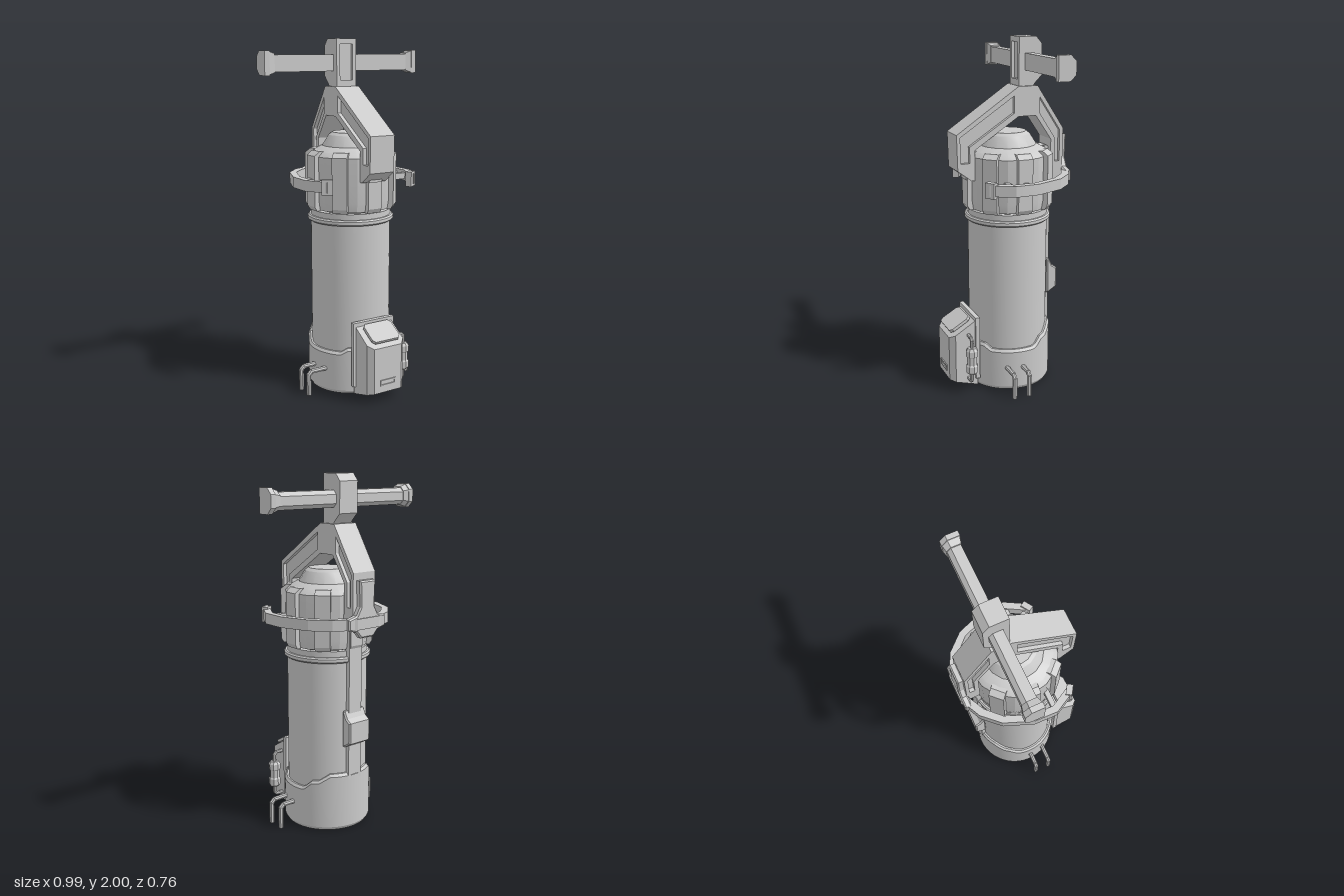
import * as THREE from 'three';
import { toCreasedNormals, mergeGeometries } from 'three/addons/utils/BufferGeometryUtils.js';

const CZ = -0.025; // z of the cylinder axis

export function createModel() {
  const model = new THREE.Group();
  const material = new THREE.MeshStandardMaterial({ color: 0xcccccc, side: THREE.DoubleSide });

  const add = (name, geometry, x = 0, y = 0, z = 0) => {
    const mesh = new THREE.Mesh(toCreasedNormals(geometry, 0.35), material);
    mesh.name = name;
    mesh.position.set(x, y, z);
    model.add(mesh);
    return mesh;
  };
  const box = (name, w, h, d, x, y, z) => add(name, new THREE.BoxGeometry(w, h, d), x, y, z);
  const shapeOf = (pts, hole) => {
    const s = new THREE.Shape(pts.map(p => new THREE.Vector2(...p)));
    (hole || []).forEach(h => s.holes.push(new THREE.Path(h.map(p => new THREE.Vector2(...p)))));
    return s;
  };
  // Extrusion centred on its own depth, with an optional chamfer
  const extrude = (pts, depth, holes, chamfer = 0) => {
    const g = new THREE.ExtrudeGeometry(shapeOf(pts, holes), {
      depth: depth - 2 * chamfer, bevelEnabled: chamfer > 0, bevelThickness: chamfer,
      bevelSize: chamfer, bevelOffset: -chamfer, bevelSegments: 1,
    });
    return g.translate(0, 0, -(depth - 2 * chamfer) / 2);
  };
  // Profile given as (z, y), extruded along x
  const extrudeX = (...args) => extrude(...args).rotateY(-Math.PI / 2);
  // Outline given as (x, z), extruded along y
  const extrudeY = (...args) => extrude(...args).rotateX(Math.PI / 2);
  const lathe = (pts, sides) =>
    new THREE.LatheGeometry(pts.map(p => new THREE.Vector2(...p)), sides);
  // Round rod that follows a polyline
  const rod = (name, pts, r) => {
    const parts = pts.slice(1).map((p, i) => {
      const a = new THREE.Vector3(...pts[i]), b = new THREE.Vector3(...p);
      const dir = b.clone().sub(a);
      const g = new THREE.CylinderGeometry(r, r, dir.length() + r * 0.4, 8);
      g.applyQuaternion(new THREE.Quaternion().setFromUnitVectors(
        new THREE.Vector3(0, 1, 0), dir.normalize()));
      return g.translate(...a.add(b).multiplyScalar(0.5).toArray());
    });
    add(name, mergeGeometries(parts));
  };

  // Main cylinder and its collar
  add('body', lathe([[0, 0.02], [0.228, 0.02], [0.228, 1.05], [0, 1.05]], 64), 0, 0, CZ);
  add('collar', lathe([[0.22, 0.985], [0.238, 0.985], [0.246, 0.993], [0.246, 1.01],
    [0.238, 1.018], [0.22, 1.018]], 64), 0, 0, CZ);

  // Base sleeve: the rim steps up toward the back
  const steps = [[0, 0.34], [35, 0.34], [50, 0.3], [60, 0.295], [72, 0.25], [135, 0.25], [145, 0.275], [180, 0.275]];
  const rimHeight = deg => {
    const i = Math.max(1, steps.findIndex(s => s[0] >= deg));
    const [a, ya] = steps[i - 1], [b, yb] = steps[i];
    return ya + (yb - ya) * (deg - a) / (b - a);
  };
  const base = lathe([[0, 0], [0.238, 0], [0.25, 0.02], [0.25, 0.985], [0.238, 1], [0.22, 1]], 72);
  const pos = base.attributes.position;
  for (let i = 0; i < pos.count; i++) {
    if (pos.getY(i) < 0.5) continue;
    const deg = Math.abs(Math.atan2(pos.getX(i), -pos.getZ(i))) * 180 / Math.PI;
    pos.setY(i, rimHeight(Math.min(deg, 179.99)) - (1 - pos.getY(i)));
  }
  add('base', base, 0, 0, CZ);

  // Cap with stepped top and eight ribs
  add('cap', lathe([[0.2, 1.05], [0.232, 1.06], [0.24, 1.11], [0.24, 1.36], [0.215, 1.385],
    [0.165, 1.41], [0, 1.41]], 16), 0, 0, CZ);
  add('capDome', lathe([[0.165, 1.4], [0.16, 1.415], [0.125, 1.47], [0.105, 1.485], [0, 1.485]], 16), 0, 0, CZ);
  for (let i = 0; i < 8; i++) {
    const rib = extrudeX([[0.2, 1.06], [0.243, 1.055], [0.258, 1.08], [0.258, 1.365], [0.225, 1.39], [0.2, 1.39]], 0.085);
    add('capRib', rib, 0, 0, CZ).rotation.y = i * Math.PI / 4;
  }

  // Arched yoke: narrow core between two side plates with recessed panels
  const arch = [[0.22, 1.23], [0.3, 1.29], [0.305, 1.49], [-0.06, 1.735], [-0.175, 1.735],
    [-0.335, 1.49], [-0.335, 1.2], [-0.26, 1.2], [-0.26, 1.43], [-0.165, 1.57],
    [-0.06, 1.57], [0.2, 1.4], [0.2, 1.23]];
  const panels = [
    [[0.28, 1.33], [0.285, 1.475], [-0.035, 1.685], [-0.035, 1.59], [0.23, 1.42], [0.23, 1.33]],
    [[-0.19, 1.67], [-0.315, 1.48], [-0.315, 1.3], [-0.285, 1.3], [-0.285, 1.435], [-0.19, 1.58]],
  ];
  add('yokeCore', extrudeX(arch, 0.11));
  for (const s of [-1, 1]) add('yokeSidePlate', extrudeX(arch, 0.022, panels), s * 0.066);
  box('yokeFoot', 0.08, 0.1, 0.05, 0, 1.28, 0.215);

  // Rear bracket flaring into the hoop
  const half = [[0.055, 1.45], [0.05, 1.31], [0.075, 1.265], [0.13, 1.25], [0.13, 1.19], [0.075, 1.175], [0.045, 1.14]];
  const flare = half.concat(half.map(([x, y]) => [-x, y]).reverse());
  add('rearBracket', extrude(flare, 0.04, null, 0.008), 0, 0, -0.348);

  // Open hoop around the cap
  const outer = [[0.077, -0.375], [0.2, -0.315], [0.29, -0.22], [0.352, -0.06], [0.355, 0.075], [0.285, 0.2]];
  const inner = [[0.065, -0.335], [0.175, -0.28], [0.255, -0.2], [0.315, -0.05], [0.315, 0.065], [0.25, 0.18]];
  const flip = pts => pts.map(([x, z]) => [-x, z]);
  const hoop = [...flip(outer).reverse(), ...outer, ...inner.slice().reverse(), ...flip(inner)];
  add('hoop', extrudeY(hoop, 0.06), 0, 1.22);
  for (const s of [-1, 1]) {
    add('hoopEnd', new THREE.BoxGeometry(0.06, 0.085, 0.035), s * 0.272, 1.22, 0.183).rotation.y = s * 0.58;
    for (const z of [-0.025, 0.07]) box('hoopStrut', 0.13, 0.035, 0.028, s * 0.27, 1.22, z);
  }

  // Top hub with a framed front recess
  add('hub', extrudeX([[-0.085, 1.73], [-0.085, 2], [-0.17, 2], [-0.205, 1.96], [-0.205, 1.79],
    [-0.165, 1.75], [-0.15, 1.73]], 0.125));
  const rect = (w, y0, y1) => [[-w, y0], [w, y0], [w, y1], [-w, y1]];
  add('hubFrame', extrude(rect(0.0625, 1.73, 2), 0.02, [rect(0.04, 1.77, 1.97)]), 0, 0, -0.078);

  // Crossbar with flared ends, chamfered along the back
  const bar = (z0, z1, y0, y1, c) =>
    [[z0, y0], [z0, y1], [z1 + c, y1], [z1, y1 - c], [z1, y0 + c], [z1 + c, y0]];
  add('crossbar', extrudeX(bar(-0.102, -0.177, 1.82, 1.912, 0.022), 0.92));
  for (const s of [-1, 1]) {
    const end = extrudeX(bar(-0.09, -0.19, 1.802, 1.935, 0.032), 0.05);
    const p = end.attributes.position;
    // Taper the inner side of each end down to the bar
    for (let i = 0; i < p.count; i++) if (p.getX(i) * s < 0) {
      p.setY(i, 1.868 + (p.getY(i) - 1.868) * 0.76);
      p.setZ(i, -0.14 + (p.getZ(i) + 0.14) * 0.8);
    }
    add('crossbarEnd', end, s * 0.455);
    add('crossbarCap', extrudeX(bar(-0.09, -0.19, 1.802, 1.935, 0.032), 0.03), s * 0.48);
  }

  // Back spine and its latch housing
  box('backSpine', 0.09, 0.92, 0.04, 0, 0.76, -0.253);
  add('backLatch', extrudeX([[-0.25, 0.5], [-0.265, 0.5], [-0.315, 0.53], [-0.315, 0.65],
    [-0.285, 0.67], [-0.265, 0.71], [-0.25, 0.71]], 0.15, null, 0.008));

  // Front control box
  const shell = extrude([[-0.12, 0.21], [0.12, 0.21], [0.12, 0.345], [0.09, 0.375], [-0.09, 0.375], [-0.12, 0.345]], 1)
    .rotateX(Math.PI / 2);
  const sp = shell.attributes.position;
  // Slope the lid and the underside with depth
  for (let i = 0; i < sp.count; i++) {
    const d = (sp.getZ(i) - 0.21) / 0.165;
    sp.setY(i, sp.getY(i) > 0 ? 0.425 - 0.1 * d : 0.01 + 0.05 * d);
  }
  add('controlBox', shell);
  box('controlBoxBackPlate', 0.27, 0.38, 0.025, 0, 0.248, 0.215);
  const lid = add('controlBoxLid', extrudeY([[-0.09, -0.05], [-0.075, -0.068], [0.075, -0.068], [0.09, -0.05],
    [0.09, 0.05], [0.075, 0.068], [-0.075, 0.068], [-0.09, 0.05]], 0.018), 0, 0.39, 0.305);
  lid.rotation.x = 0.53;
  add('controlBoxSlot', extrude(rect(0.05, 0.1, 0.135), 0.012, [rect(0.042, 0.108, 0.127)]), 0, 0, 0.375);

  // Small canister on the box's left side, held by a bent pipe
  add('canister', lathe([[0, 0.12], [0.025, 0.12], [0.036, 0.135], [0.036, 0.17], [0.03, 0.178], [0.03, 0.225],
    [0.036, 0.233], [0.036, 0.265], [0.025, 0.28], [0, 0.28]], 8), 0.175, 0, 0.267);
  rod('canisterPipe', [[0.11, 0.335, 0.267], [0.16, 0.335, 0.267], [0.175, 0.32, 0.267],
    [0.175, 0.08, 0.267], [0.16, 0.065, 0.267], [0.11, 0.065, 0.267]], 0.011);

  // Bent side legs
  for (const s of [-1, 1]) for (const z of [-0.02, 0.07]) {
    rod('sideLeg', [[s * 0.22, 0.14, z], [s * 0.32, 0.14, z], [s * 0.338, 0.122, z], [s * 0.338, 0.003, z]], 0.014);
  }
  return model;
}
